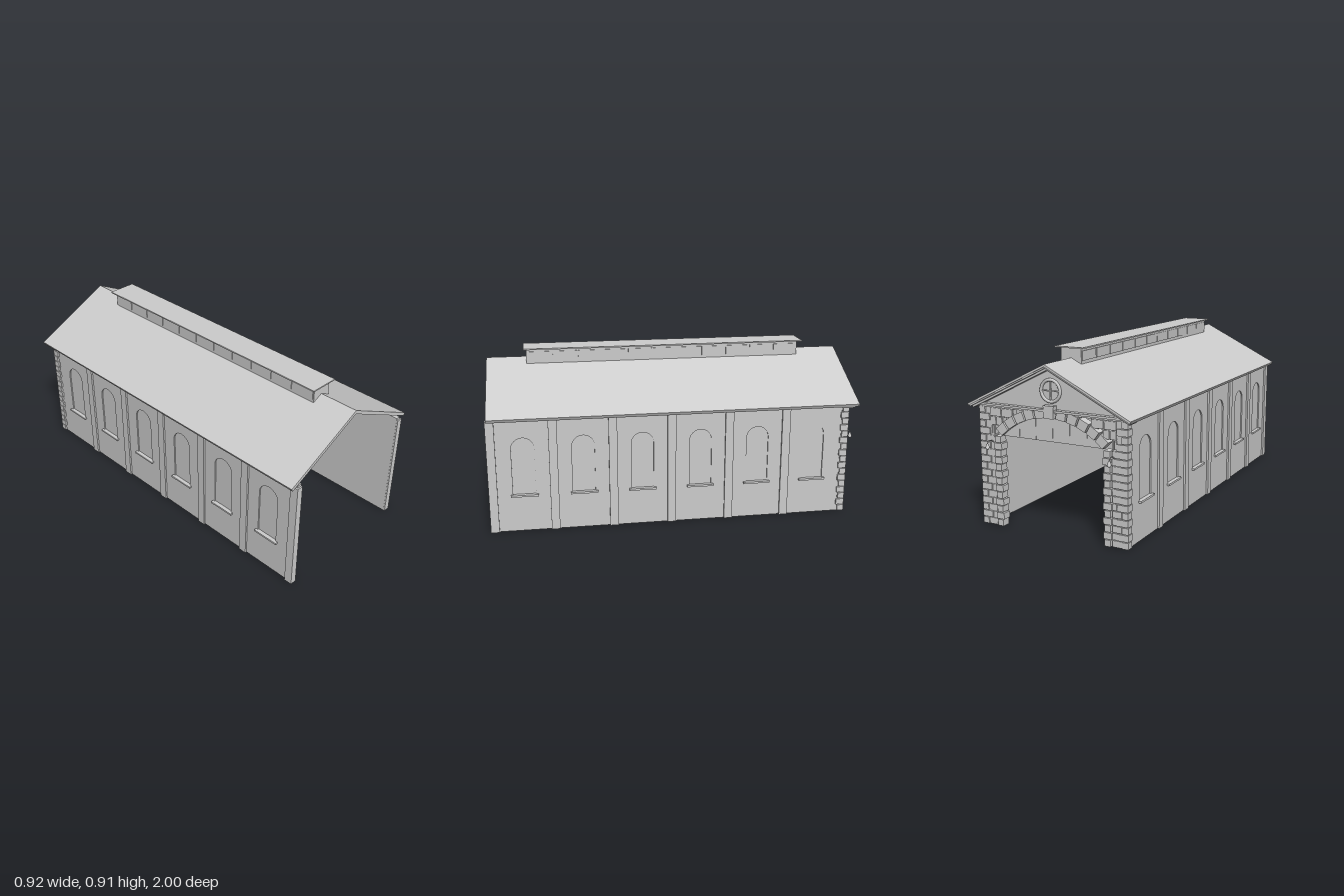
import * as THREE from 'three';

export function createModel() {
  const root = new THREE.Group();
  root.name = 'trainShed';
  const grey = new THREE.MeshStandardMaterial({ color: 0xcccccc });
  grey.name = 'plain grey';

  const add = (name, geo, parent = root) => {
    const mesh = new THREE.Mesh(geo, grey);
    mesh.name = name;
    parent.add(mesh);
    return mesh;
  };
  const group = (name) => {
    const g = new THREE.Group();
    g.name = name;
    root.add(g);
    return g;
  };
  // Box given by its limits on each axis
  const box = (name, x0, x1, y0, y1, z0, z1, parent) => {
    const geo = new THREE.BoxGeometry(Math.abs(x1 - x0), y1 - y0, z1 - z0);
    return add(name, geo.translate((x0 + x1) / 2, (y0 + y1) / 2, (z0 + z1) / 2), parent);
  };
  // Flat outline in x and y, extruded between two z values
  const slab = (name, pts, z0, z1, parent) => {
    const shape = new THREE.Shape(pts.map(([x, y]) => new THREE.Vector2(x, y)));
    const geo = new THREE.ExtrudeGeometry(shape, { depth: z1 - z0, bevelEnabled: false });
    return add(name, geo.translate(0, 0, z0), parent);
  };

  const windowZ = [0.8125, 0.4995, 0.1865, -0.1265, -0.4395, -0.7525];
  const pilasterZ = [0.975, 0.656, 0.343, 0.03, -0.283, -0.596];

  // Side walls: inner sheet, outer skin with arched recesses, pilasters and sills
  const skin = new THREE.Shape();
  skin.moveTo(-0.99, 0).lineTo(0.91, 0).lineTo(0.91, 0.625).lineTo(-0.99, 0.625).closePath();
  for (const z of windowZ) {
    const hole = new THREE.Path();
    hole.moveTo(-z - 0.06, 0.205).lineTo(-z - 0.06, 0.455);
    hole.absarc(-z, 0.455, 0.06, Math.PI, 0, true);
    hole.lineTo(-z + 0.06, 0.205).closePath();
    skin.holes.push(hole);
  }
  for (const s of [1, -1]) {
    const wall = group(s > 0 ? 'leftWall' : 'rightWall');
    box('innerWall', s * 0.385, s * 0.403, 0, 0.625, -0.91, 0.99, wall);
    const geo = new THREE.ExtrudeGeometry(skin, { depth: 0.007, bevelEnabled: false, curveSegments: 16 });
    add('windowWall', geo.rotateY(Math.PI / 2).translate(s > 0 ? 0.403 : -0.41, 0, 0), wall);
    for (const z of pilasterZ) box('pilaster', s * 0.386, s * 0.42, 0, 0.612, z - 0.0225, z + 0.0225, wall);
    for (const z of windowZ) box('windowSill', s * 0.405, s * 0.425, 0.195, 0.205, z - 0.0725, z + 0.0725, wall);
  }

  // Pitched roof and the raking boards beneath it
  const chevron = (name, top, thick, half, z0, z1) => {
    const k = 0.497, nx = thick * 0.445, drop = thick * 1.117;
    return slab(name, [
      [0, top], [-half, top - half * k], [-half + nx, top - half * k - thick * 0.895],
      [0, top - drop], [half - nx, top - half * k - thick * 0.895], [half, top - half * k],
    ], z0, z1);
  };
  chevron('roof', 0.856, 0.018, 0.456, -0.985, 0.99);
  chevron('gableBoard', 0.856, 0.011, 0.458, -0.99, -0.985);
  chevron('gableMoulding', 0.837, 0.011, 0.445, -0.97, -0.9);

  // Ridge vent with side panels and a flat cap
  const vent = group('ridgeVent');
  box('ventBody', -0.058, 0.058, 0.815, 0.906, -0.75, 0.775, vent);
  box('ventCap', -0.081, 0.081, 0.905, 0.912, -0.773, 0.79, vent);
  for (const s of [1, -1]) for (let i = 0; i < 11; i++) {
    const z = -0.745 + i * 0.1382;
    box('ventPanel', s * 0.057, s * 0.062, 0.843, 0.892, z, z + 0.132, vent);
  }

  // Gable end with cornice and a round window
  const gable = group('gableEnd');
  slab('gablePlate', [[-0.415, 0.625], [0.415, 0.625], [0, 0.832]], -0.935, -0.91, gable);
  box('corniceLower', -0.415, 0.415, 0.612, 0.622, -0.945, -0.908, gable);
  box('corniceUpper', -0.425, 0.425, 0.622, 0.633, -0.96, -0.905, gable);
  add('roundFrame', new THREE.TorusGeometry(0.053, 0.008, 8, 32).translate(0, 0.722, -0.937), gable);
  box('glazingBar', -0.05, 0.05, 0.719, 0.725, -0.941, -0.934, gable);
  box('glazingBar', -0.003, 0.003, 0.672, 0.772, -0.941, -0.934, gable);

  // Stone piers: corner quoins, infill courses and jamb blocks
  const step = 0.0362;
  for (const s of [1, -1]) {
    const pier = group(s > 0 ? 'leftPier' : 'rightPier');
    box('pierCore', s * 0.336, s * 0.412, 0, 0.475, -0.938, -0.91, pier);
    box('spandrelLow', s * 0.332, s * 0.412, 0.475, 0.521, -0.938, -0.91, pier);
    box('spandrelMiddle', s * 0.284, s * 0.412, 0.521, 0.566, -0.938, -0.91, pier);
    box('spandrelTop', s * 0.22, s * 0.412, 0.566, 0.613, -0.938, -0.91, pier);
    for (let i = 0; i < 17; i++) {
      const y0 = i * step + 0.002, y1 = y0 + step - 0.004, wide = i % 2 === 1;
      box('cornerQuoin', s * (wide ? 0.36 : 0.386), s * 0.42, y0, y1, -0.947, wide ? -0.903 : -0.912, pier);
      if (i < 13) {
        box('infillStone', s * 0.334, s * (wide ? 0.357 : 0.383), y0, y1, -0.943, -0.912, pier);
        box('jambStone', s * (wide ? 0.288 : 0.294), s * (wide ? 0.333 : 0.327), y0, y1, -0.95, -0.903, pier);
      }
    }
    for (let i = 0; i < 3; i++) {
      const x0 = [0.334, 0.287, 0.223][i], y0 = 0.478 + i * 0.045;
      const mid = (x0 + 0.357) / 2;
      box('spandrelStone', s * x0, s * (mid - 0.002), y0, y0 + 0.041, -0.943, -0.93, pier);
      box('spandrelStone', s * (mid + 0.002), s * 0.357, y0, y0 + 0.041, -0.943, -0.93, pier);
    }

    // Wall lamp on a curved bracket
    const lamp = group('wallLamp');
    const arm = new THREE.CatmullRomCurve3([
      [-0.94, 0.436], [-0.96, 0.446], [-0.98, 0.446], [-0.99, 0.432],
    ].map(([z, y]) => new THREE.Vector3(s * 0.345, y, z)));
    add('lampArm', new THREE.TubeGeometry(arm, 12, 0.003, 6), lamp);
    add('lampShade', new THREE.CylinderGeometry(0.005, 0.011, 0.02, 12).translate(s * 0.345, 0.424, -0.989), lamp);
    add('lampBulb', new THREE.SphereGeometry(0.008, 10, 8).translate(s * 0.345, 0.412, -0.989), lamp);
  }

  // Arch of separate wedge stones with a raised keystone
  const arch = group('archStones');
  const cy = 0.18, a = 0.1422;
  for (let i = -5; i <= 5; i++) {
    if (i === 0) continue;
    const at = (r, t) => [r * Math.sin(t), cy + r * Math.cos(t)];
    const t = i * a, h = 0.061;
    slab('archStone', [at(0.41, t + h), at(0.457, t + h), at(0.457, t - h), at(0.41, t - h)], -0.95, -0.905, arch);
  }
  slab('keystone', [[-0.026, 0.59], [0.026, 0.59], [0.03, 0.653], [-0.03, 0.653]], -0.962, -0.9, arch);

  // Boarded panel filling the head of the arch, with thin cover strips
  const panel = group('archPanel');
  const pts = [[-0.288, 0.47], [0.288, 0.47]];
  for (let i = 0; i <= 24; i++) {
    const t = 0.75 - (i / 24) * 1.5;
    pts.push([0.413 * Math.sin(t), cy + 0.413 * Math.cos(t)]);
  }
  slab('panelBoard', pts, -0.928, -0.918, panel);
  for (let i = -2; i <= 2; i++) {
    const x = i * 0.0965, top = cy + Math.sqrt(0.41 ** 2 - x * x);
    box('panelStrip', x - 0.0015, x + 0.0015, 0.47, top, -0.93, -0.916, panel);
  }
  return root;
}
